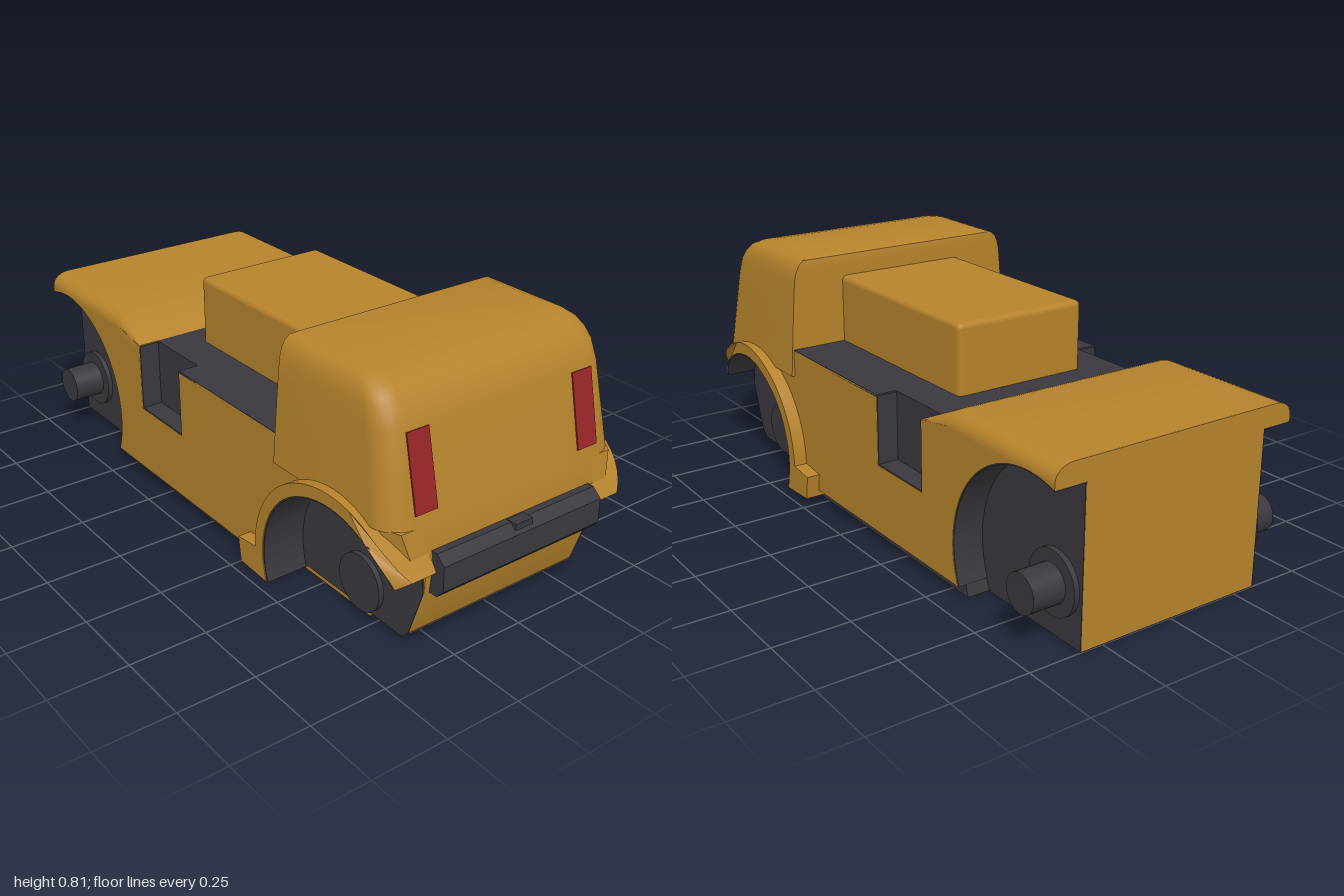
import * as THREE from 'three';
import { toCreasedNormals } from 'three/addons/utils/BufferGeometryUtils.js';
import { RoundedBoxGeometry } from 'three/addons/geometries/RoundedBoxGeometry.js';

const RAD = Math.PI / 180;
const FRONT = { x: -0.89, y: 0.17, r: 0.35 };
const REAR = { x: 0.69, y: 0.11, r: 0.3 };

// Points along a circle from angle a0 to a1 in degrees
function arc(c, r, a0, a1, n = 28) {
  return Array.from({ length: n + 1 }, (_, i) => {
    const a = (a0 + (a1 - a0) * i / n) * RAD;
    return [c.x + r * Math.cos(a), c.y + r * Math.sin(a)];
  });
}

// Side outline pushed out between two z values; outer face can follow a width rule
function slab(points, z0, z1, width) {
  const shape = new THREE.Shape(points.map(p => new THREE.Vector2(p[0], p[1])));
  const g = new THREE.ExtrudeGeometry(shape, { depth: z1 - z0, bevelEnabled: false }).translate(0, 0, z0);
  if (width) {
    const p = g.attributes.position;
    for (let i = 0; i < p.count; i++) if (p.getZ(i) > (z0 + z1) / 2) p.setZ(i, width(p.getX(i)));
  }
  return toCreasedNormals(g, 0.5);
}

// Skin through equal-length rings of points, capped at both ends
function loft(rings, crease = 0.6) {
  const n = rings[0].length, pos = rings.flat(2), idx = [];
  for (let k = 0; k < rings.length - 1; k++) {
    for (let i = 0; i < n; i++) {
      const a = k * n + i, b = k * n + (i + 1) % n;
      idx.push(a, b, b + n, a, b + n, a + n);
    }
  }
  const last = (rings.length - 1) * n;
  for (let i = 1; i < n - 1; i++) idx.push(0, i + 1, i, last, last + i, last + i + 1);
  const g = new THREE.BufferGeometry();
  g.setAttribute('position', new THREE.Float32BufferAttribute(pos, 3));
  g.setIndex(idx);
  return toCreasedNormals(g, crease);
}

// Copy reflected across z = 0 with its winding restored
function mirrored(geo) {
  const g = geo.index ? geo.toNonIndexed() : geo.clone();
  g.scale(1, 1, -1);
  for (const attr of Object.values(g.attributes)) {
    const s = attr.itemSize, a = attr.array;
    for (let i = 0; i < attr.count; i += 3) {
      for (let j = 0; j < s; j++) {
        const u = (i + 1) * s + j, v = (i + 2) * s + j;
        [a[u], a[v]] = [a[v], a[u]];
      }
    }
  }
  for (let i = 0; i < g.attributes.normal.count; i++) {
    const m = g.attributes.normal;
    const l = Math.hypot(m.getX(i), m.getY(i), m.getZ(i)) || 1;
    m.setXYZ(i, m.getX(i) / l, m.getY(i) / l, m.getZ(i) / l);
  }
  return g;
}

// Box from minimum and maximum corners
function box(x0, x1, y0, y1, z0, z1) {
  return new THREE.BoxGeometry(x1 - x0, y1 - y0, z1 - z0)
    .translate((x0 + x1) / 2, (y0 + y1) / 2, (z0 + z1) / 2);
}

// Disc or stub pointing along z
function disc(c, r, z0, z1) {
  return new THREE.CylinderGeometry(r, r, z1 - z0, 32).rotateX(Math.PI / 2).translate(c.x, c.y, (z0 + z1) / 2);
}

export function createModel() {
  const model = new THREE.Group();
  model.name = 'tractor';
  const material = (name, color) => Object.assign(new THREE.MeshStandardMaterial({ color }), { name });
  const yellow = material('ochre paint', 0xb5832c);
  const dark = material('dark grey', 0x3a383e);
  const red = material('red lamp', 0x982428);

  const add = (name, geo, mat) => {
    const m = new THREE.Mesh(geo, mat);
    m.name = name;
    model.add(m);
  };
  const pair = (name, geo, mat) => {
    add(name + 'Left', geo, mat);
    add(name + 'Right', mirrored(geo), mat);
  };

  // Body core between the wheel wells
  add('bodyCore', slab([[-1, 0.003], [0.72, 0.003], [0.73, 0.018], [0.86, 0.018], [0.89, 0.04], [0.945, 0.2],
    [0.955, 0.3], [0.932, 0.41], [0.42, 0.42], [0.42, 0.498], [-0.38, 0.498], [-0.53, 0.53], [-1, 0.53]],
  -0.325, 0.325), yellow);
  add('bellyPlate', box(-0.999, 0.72, 0, 0.006, -0.324, 0.324), dark);
  add('rearBellyPlate', box(0.72, 0.86, 0.013, 0.02, -0.324, 0.324), dark);
  add('rearSkirtEdge', slab([[0.855, 0.013], [0.865, 0.013], [0.895, 0.04], [0.885, 0.045]], -0.324, 0.324), dark);
  add('sill', slab([[-0.575, 0], [0.39, 0], [0.39, 0.042], [-0.563, 0.042]], -0.4, 0.4), dark);

  // Side walls with wheel arches and a step notch
  const wallWidth = x => x < 0.84 ? 0.43 : 0.35 + 0.08 * Math.sqrt(Math.max(0, 1 - ((x - 0.84) / 0.12) ** 2));
  pair('sideWall', slab([
    ...arc(FRONT, FRONT.r, 108.3, -21.8),
    ...arc(REAR, REAR.r, 193.5, 36),
    [0.955, 0.3], [0.932, 0.41], [0.9, 0.415], [0.86, 0.42], [0.42, 0.42], [0.42, 0.5],
    [-0.13, 0.5], [-0.13, 0.27], [-0.38, 0.27], [-0.38, 0.5], [-0.5, 0.522], [-1, 0.522],
  ], 0.32, 0.43, wallWidth), yellow);

  // Step notch lining
  pair('stepBack', box(-0.38, -0.13, 0.27, 0.498, 0.32, 0.36), dark);
  pair('stepFloor', box(-0.38, -0.13, 0.268, 0.274, 0.34, 0.429), dark);
  for (const x of [-0.382, -0.134]) pair('stepCheek', box(x, x + 0.006, 0.27, 0.499, 0.34, 0.429), dark);

  // Deck
  add('deckRear', box(-0.13, 0.412, 0.494, 0.502, -0.43, 0.43), dark);
  add('deckFront', box(-0.385, -0.13, 0.494, 0.502, -0.36, 0.36), dark);

  // Front hood: rounded along both sides, sloping down to the deck
  const hoodRing = ([x, top, bottom, r]) => {
    const pts = [[x, bottom, 0.43]];
    for (let i = 0; i <= 6; i++) {
      const a = i * 15 * RAD;
      pts.push([x, top - r + r * Math.sin(a), 0.43 - 1.3 * r * (1 - Math.cos(a))]);
    }
    return [...pts, ...pts.map(p => [p[0], p[1], -p[2]]).reverse()];
  };
  add('hood', loft([[-1, 0.57, 0.52, 0.047], [-0.78, 0.57, 0.52, 0.047], [-0.53, 0.57, 0.49, 0.047],
    [-0.515, 0.566, 0.49, 0.045], [-0.38, 0.502, 0.49, 0.006]].map(hoodRing).map(r => r.reverse()), 0.7), yellow);

  // Engine cover
  add('engineCover', new RoundedBoxGeometry(0.72, 0.25, 0.47, 3, 0.018).translate(0.07, 0.605, 0), yellow);

  // Tapered cab with rounded rear corners
  const cabRing = ([y, front, rear, w, r]) => {
    const half = [[front, y, w]];
    for (let i = 0; i <= 7; i++) {
      const a = (90 - i * 90 / 7) * RAD;
      half.push([rear - r + r * Math.cos(a), y, w - r + r * Math.sin(a)]);
    }
    return [...half, ...half.map(p => [p[0], p[1], -p[2]]).reverse()];
  };
  add('cab', loft([
    [0.41, 0.405, 0.932, 0.441, 0.085], [0.55, 0.405, 0.902, 0.431, 0.08], [0.68, 0.405, 0.875, 0.421, 0.075],
    [0.735, 0.405, 0.852, 0.416, 0.07], [0.765, 0.405, 0.828, 0.409, 0.065], [0.787, 0.405, 0.802, 0.398, 0.06],
    [0.802, 0.408, 0.767, 0.381, 0.055], [0.81, 0.42, 0.72, 0.355, 0.05],
  ].map(cabRing), 0.6), yellow);

  // Rear fenders wrapping in towards the bumper
  const fenderWidth = x => x < 0.55 ? 0.475
    : x < 0.85 ? 0.475 - 0.05 * (x - 0.55)
      : 0.37 + 0.09 * Math.sqrt(Math.max(0, 1 - ((x - 0.85) / 0.14) ** 2));
  pair('rearFender', slab([
    ...arc(REAR, 0.34, 31, 180), [0.26, 0.1], [0.272, 0.018], [0.405, 0.012], ...arc(REAR, REAR.r, 186, 30),
  ], 0.315, 0.475, fenderWidth), yellow);

  // Wheel well linings, inner faces and hubs
  pair('rearWellLiner', slab([...arc(REAR, 0.301, 31, 199.5), ...arc(REAR, 0.295, 199.5, 31)],
    0.322, 0.47, x => fenderWidth(x) - 0.003), dark);
  pair('rearWellFace', slab([...arc(REAR, 0.299, 198, 33), [0.945, 0.2], [0.89, 0.04], [0.86, 0.016]],
    0.32, 0.328), dark);
  pair('rearHub', disc(REAR, 0.092, 0.32, 0.345), dark);
  pair('frontWellLiner', slab([...arc(FRONT, 0.351, 108.2, -22), ...arc(FRONT, 0.346, -22, 108.4)],
    0.322, 0.428), dark);
  pair('frontWellFace', slab([[-1, 0.002], ...arc(FRONT, 0.349, -28.8, 108.3)], 0.32, 0.328), dark);
  pair('frontHub', disc(FRONT, 0.1, 0.32, 0.345), dark);
  pair('frontAxle', disc(FRONT, 0.061, 0.32, 0.452), dark);

  // Rear bumper with a small latch
  add('rearBumper', slab([[0.94, 0.2], [0.975, 0.2], [1, 0.228], [1, 0.308], [0.97, 0.335], [0.94, 0.335]],
    -0.305, 0.305), dark);
  add('bumperLatch', box(0.955, 0.992, 0.318, 0.338, -0.032, 0.032), dark);

  // Tail lamps lying on the sloping rear face
  pair('tailLamp', new THREE.BoxGeometry(0.009, 0.235, 0.078).rotateZ(0.21).translate(0.9, 0.56, 0.31).toNonIndexed(), red);

  return model;
}
